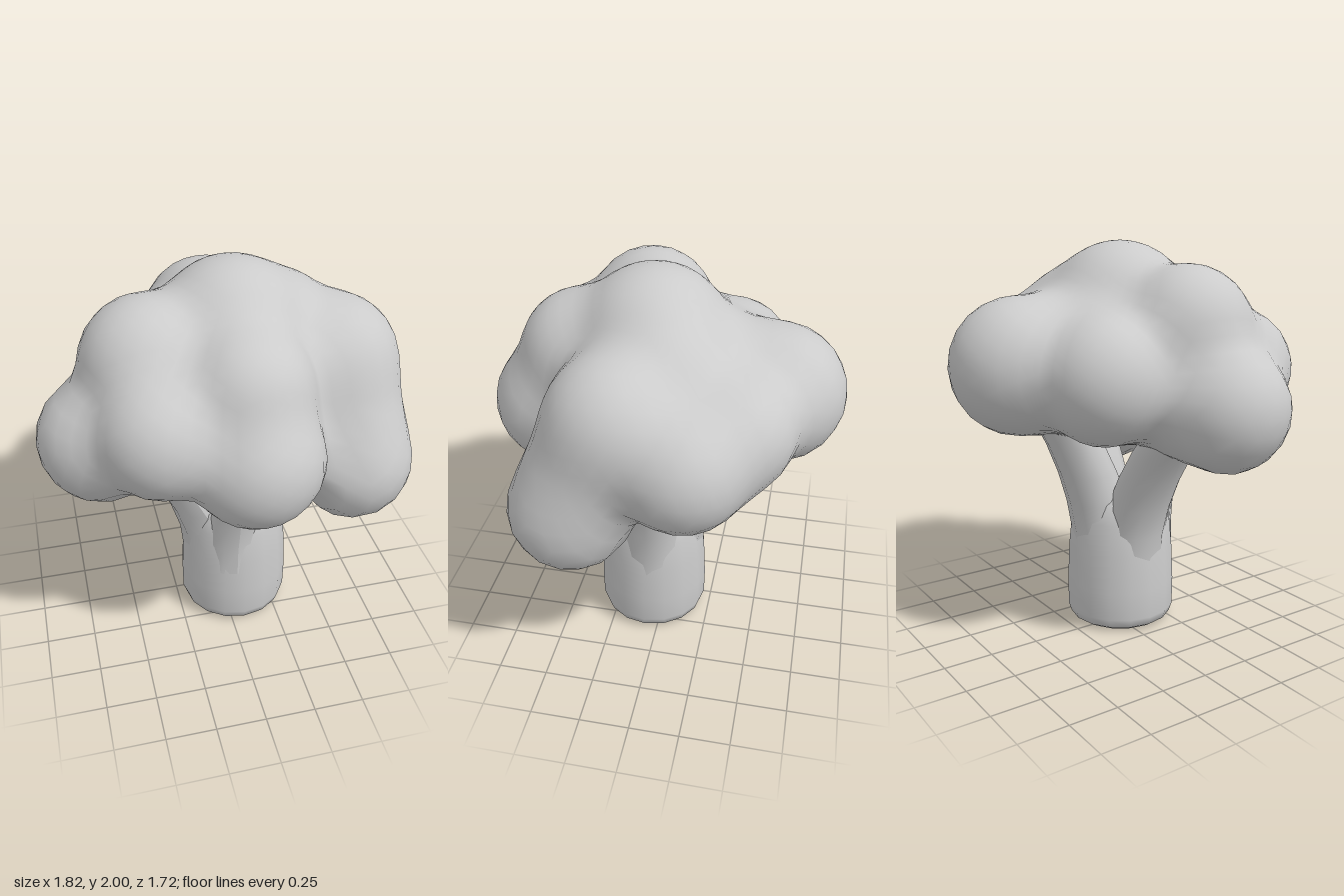
import * as THREE from 'three';
import { mergeVertices } from 'three/addons/utils/BufferGeometryUtils.js';

const material = new THREE.MeshStandardMaterial({ color: 0xcccccc });

// Lobes of the crown: x, y, z, radius. Each grows out of the core as a tapered limb.
const CORE = [0.03, 1.42, 0.02, 0.37];
const LOBES = [
  [0.05, 1.63, 0.05, 0.37],    // top
  [0.04, 1.25, 0.54, 0.322],   // front
  [0.03, 1.53, 0.40, 0.31],    // upper front
  [-0.61, 1.24, 0.20, 0.305],  // right side
  [-0.37, 1.58, 0.15, 0.32],   // upper right side
  [-0.36, 1.38, 0.44, 0.30],   // front right
  [0.52, 1.47, 0.12, 0.31],    // upper left side
  [0.60, 1.34, -0.18, 0.31],   // left side
  [0.40, 1.25, -0.22, 0.28],   // low back left
  [0.42, 1.42, -0.38, 0.28],   // back left
  [0.28, 1.56, -0.05, 0.31],   // high left
  [0.05, 1.42, -0.53, 0.332],  // back
  [-0.31, 1.38, -0.27, 0.31],  // back right
];
const LIMBS = LOBES.map((lobe) => [CORE, lobe]);
LIMBS.push([[0.52, 1.47, 0.14, 0.30], [0.59, 1.02, 0.34, 0.30]]); // low front left

// Distance to a limb whose radius changes evenly from end a to end b
function limbDistance(p, [a, b]) {
  const u = [b[0] - a[0], b[1] - a[1], b[2] - a[2]];
  const v = [p.x - a[0], p.y - a[1], p.z - a[2]];
  const along = (u[0] * v[0] + u[1] * v[1] + u[2] * v[2]) / (u[0] ** 2 + u[1] ** 2 + u[2] ** 2);
  const t = THREE.MathUtils.clamp(along, 0, 1);
  return Math.hypot(v[0] - t * u[0], v[1] - t * u[1], v[2] - t * u[2]) - (a[3] + (b[3] - a[3]) * t);
}

// Distance to the softly blended limbs
function crownDistance(p) {
  const k = 0.1;
  let d = 10;
  for (const limb of LIMBS) {
    const s = limbDistance(p, limb);
    const h = Math.max(k - Math.abs(d - s), 0) / k;
    d = Math.min(d, s) - (h * h * k) / 4;
  }
  return d;
}

// Crown: a ball shrink-wrapped onto the limbs
function crownGeometry() {
  const ball = new THREE.IcosahedronGeometry(1, 11);
  ball.deleteAttribute('uv');
  ball.deleteAttribute('normal');
  const g = mergeVertices(ball, 1e-4);
  const centre = new THREE.Vector3(0.03, 1.32, 0.04);
  const pos = g.attributes.position;
  const dir = new THREE.Vector3(), p = new THREE.Vector3();
  for (let i = 0; i < pos.count; i++) {
    dir.fromBufferAttribute(pos, i).normalize();
    let t = 1.6;
    for (let n = 0; n < 60; n++) {
      const d = crownDistance(p.copy(centre).addScaledVector(dir, t));
      if (d < 0.001) break;
      t -= d;
    }
    pos.setXYZ(i, p.x, p.y, p.z);
  }
  g.computeVertexNormals();
  return g;
}

// Branch: a tapered column that bends outward from (x0, z0) to (x1, z1)
function branchGeometry(x0, z0, r0, x1, z1, r1) {
  const low = 0.35, high = 1.15;
  const g = new THREE.CylinderGeometry(r1, r0, high - low, 12, 5);
  const pos = g.attributes.position;
  for (let i = 0; i < pos.count; i++) {
    const t = Math.max(0, pos.getY(i) / (high - low) + 0.5);
    const bend = Math.pow(t, 1.8);
    pos.setXYZ(i,
      pos.getX(i) + x0 + (x1 - x0) * bend,
      low + t * (high - low),
      pos.getZ(i) + z0 + (z1 - z0) * bend);
  }
  g.computeVertexNormals();
  return g;
}

export function createModel() {
  const group = new THREE.Group();
  const add = (name, geometry, x = 0, y = 0, z = 0) => {
    const mesh = new THREE.Mesh(geometry, material);
    mesh.name = name;
    mesh.position.set(x, y, z);
    group.add(mesh);
    return mesh;
  };

  add('crown', crownGeometry());

  // Thick stem with a rounded cut end, closed by a disc at each end
  const profile = [[0.23, 0], [0.27, 0.025], [0.285, 0.07], [0.287, 0.22],
    [0.278, 0.42], [0.262, 0.58], [0.235, 0.68], [0.17, 0.76]]
    .map(([r, y]) => new THREE.Vector2(r, y));
  add('stem', new THREE.LatheGeometry(profile, 16), 0.065, 0, 0.065);
  add('stemBase', new THREE.CircleGeometry(0.23, 16), 0.065, 0, 0.065).rotation.x = Math.PI / 2;
  add('stemTop', new THREE.CircleGeometry(0.17, 16), 0.065, 0.76, 0.065).rotation.x = -Math.PI / 2;

  // Branches spreading into the crown
  add('rightBranch', branchGeometry(-0.04, 0.06, 0.17, -0.43, 0.08, 0.15));
  add('frontBranch', branchGeometry(0.02, 0.19, 0.15, 0.06, 0.42, 0.09));
  add('leftBranch', branchGeometry(0.17, 0.05, 0.17, 0.40, 0.03, 0.13));
  add('backBranch', branchGeometry(0.07, -0.03, 0.17, 0.07, -0.30, 0.14));

  return group;
}
